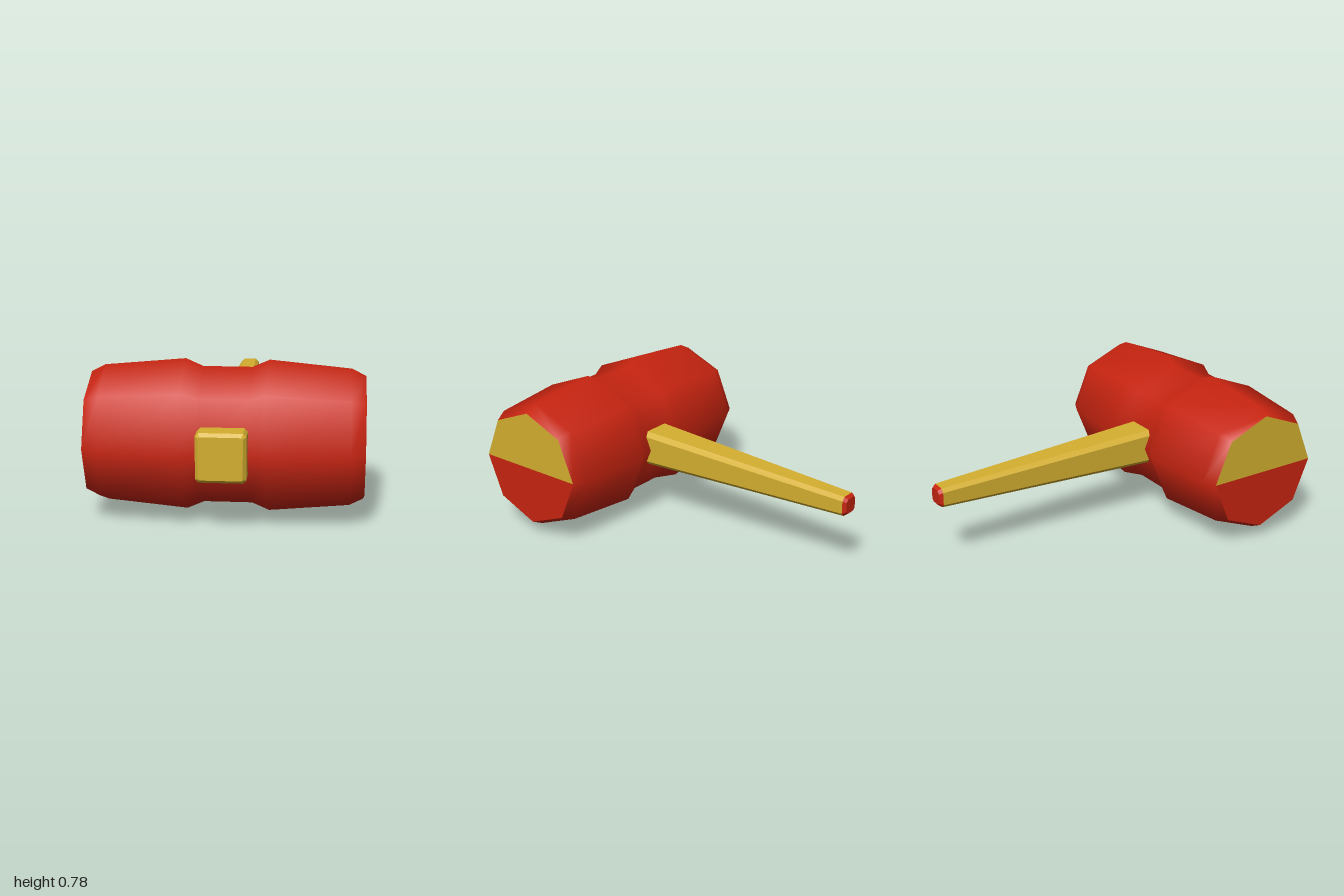
import * as THREE from 'three';

const CY = 0.395, HEAD_Z = 0.58;

// Loft of chamfered squares along z; each section is [z, halfWidth, chamfer], z increasing
function chamferedBar(sections) {
  const rings = sections.map(([z, h, c]) => {
    const k = h - c;
    return [[h, -k], [h, k], [k, h], [-k, h], [-h, k], [-h, -k], [-k, -h], [k, -h]]
      .map(([x, y]) => [x, y, z]);
  });
  const pos = [];
  const tri = (a, b, c) => pos.push(...a, ...b, ...c);
  for (let s = 0; s + 1 < rings.length; s++) {
    const p = rings[s], q = rings[s + 1];
    for (let i = 0; i < 8; i++) {
      const j = (i + 1) % 8;
      tri(p[i], p[j], q[j]);
      tri(p[i], q[j], q[i]);
    }
  }
  const first = rings[0], last = rings[rings.length - 1];
  for (let i = 1; i < 7; i++) {
    tri(first[0], first[i + 1], first[i]);
    tri(last[0], last[i], last[i + 1]);
  }
  const g = new THREE.BufferGeometry();
  g.setAttribute('position', new THREE.Float32BufferAttribute(pos, 3));
  g.computeVertexNormals();
  return g;
}

export function createModel() {
  const model = new THREE.Group();
  model.name = 'mallet';
  const red = new THREE.MeshStandardMaterial({ color: 0xc82410 });
  red.name = 'red';
  const yellow = new THREE.MeshStandardMaterial({ color: 0xd4af2f });
  yellow.name = 'yellow';

  const add = (name, geometry, material, z = 0, x = 0) => {
    const mesh = new THREE.Mesh(geometry, material);
    mesh.name = name;
    mesh.position.set(x, CY, z);
    model.add(mesh);
  };

  // Eight-sided head with a narrow waist, lying along x
  const half = [[0.353, 0.122], [0.391, 0.208], [0.353, 0.612], [0.317, 0.682]];
  const profile = [
    ...half.slice().reverse().map(([r, x]) => new THREE.Vector2(r, -x)),
    ...half.map(([r, x]) => new THREE.Vector2(r, x)),
  ];
  add('head', new THREE.LatheGeometry(profile, 8).rotateZ(Math.PI / 2), red, HEAD_Z);

  // Striking faces: yellow upper half, red lower half
  for (const [side, sx] of [['left', 1], ['right', -1]]) {
    const face = (start) =>
      new THREE.CircleGeometry(0.317, 4, start, Math.PI).rotateY(sx * Math.PI / 2);
    add(side + 'FaceUpper', face(0), yellow, HEAD_Z, sx * 0.682);
    add(side + 'FaceLower', face(Math.PI), red, HEAD_Z, sx * 0.682);
  }

  // Tapered handle with a red tip, and the block where it emerges at the front
  add('handle', chamferedBar([[-0.982, 0.053, 0.019], [0.3, 0.099, 0.025]]), yellow);
  add('handleTip', chamferedBar([[-1, 0.04, 0.014], [-0.982, 0.053, 0.019]]), red);
  add('frontBlock', chamferedBar([[0.86, 0.122, 0.016], [0.983, 0.122, 0.016], [1, 0.106, 0.006]]), yellow);

  return model;
}
